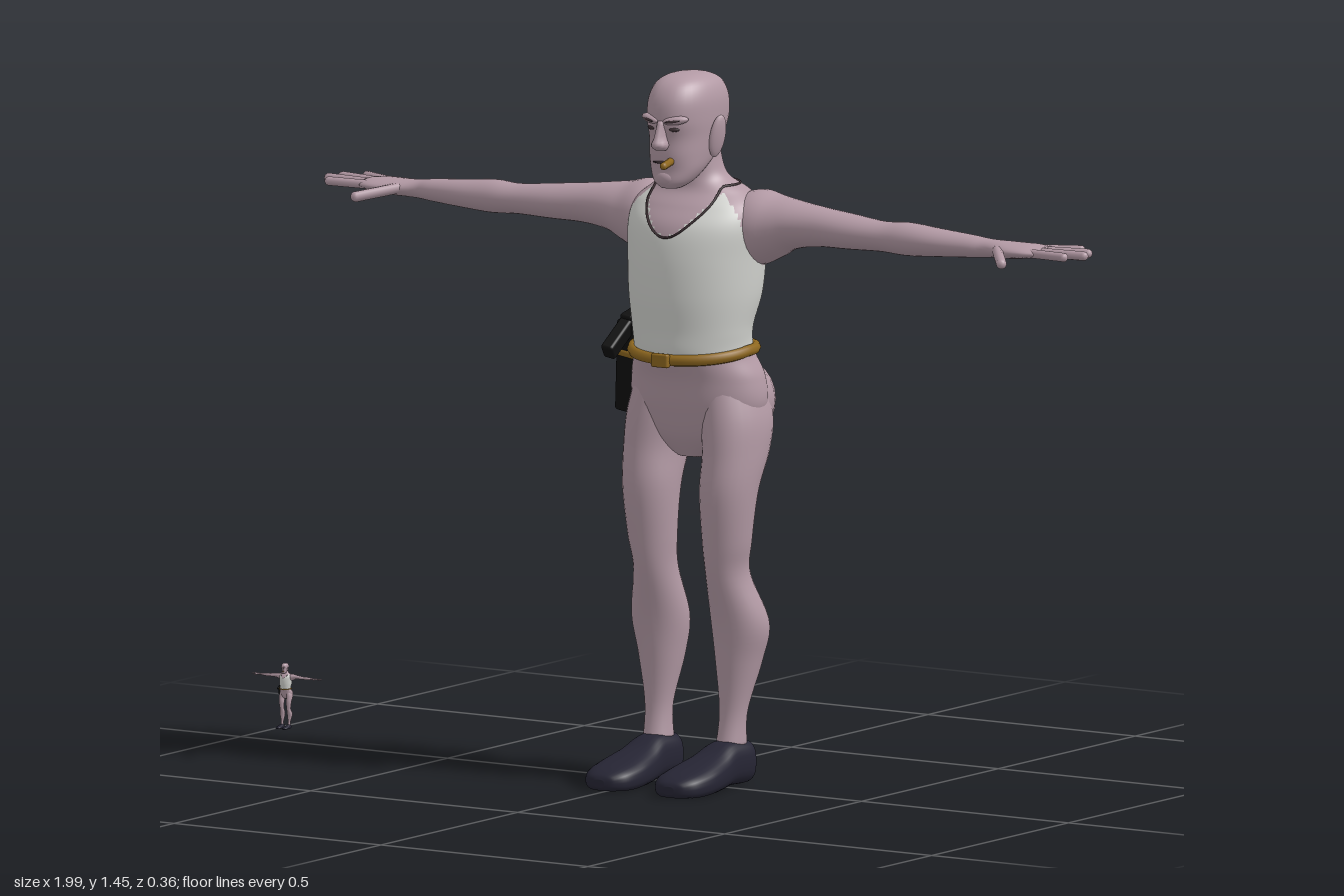
import * as THREE from 'three';
import { RoundedBoxGeometry } from 'three/addons/geometries/RoundedBoxGeometry.js';

const colours = {
  skin: 0xb39aa5, shirt: 0xd2d3cf, leather: 0x8f6820,
  shoe: 0x262534, black: 0x101010, dark: 0x3c2f33,
};
const mats = {};
for (const [name, color] of Object.entries(colours)) {
  mats[name] = new THREE.MeshStandardMaterial({ color });
  mats[name].name = name;
}

// Section rows: [position along axis, centre a, centre b, radius a, radius b]
function sample(keys, u) {
  const n = keys.length - 1, f = Math.min(Math.max(u, 0), 1) * n;
  const i = Math.min(Math.floor(f), n - 1), t = f - i;
  const k = (j) => keys[Math.min(Math.max(j, 0), n)];
  return k(i).map((b, c) => {
    const a = k(i - 1)[c], d = k(i + 1)[c], e = k(i + 2)[c];
    const v = b + 0.5 * t * (d - a + t * (2 * a - 5 * b + 4 * d - e + t * (3 * (b - d) + e - a)));
    return c > 2 ? Math.max(v, 0) : v;
  });
}
function sectionAt(keys, pos) {
  let lo = 0, hi = 1;
  for (let i = 0; i < 30; i++) {
    const mid = (lo + hi) / 2;
    if (sample(keys, mid)[0] < pos) lo = mid; else hi = mid;
  }
  return sample(keys, lo);
}
const bend = (v, p) => Math.sign(v) * Math.abs(v) ** p;

// Smooth closed loft along x, y or z; pick(x, y, z) chooses a material slot
function loft(keys, { axis = 'y', segs = 28, rings = 50, power = 1, side = 1, floor = -9, pick = null } = {}) {
  const pos = [], lists = [[], []];
  const first = [...keys[0].slice(0, 3), 0, 0], last = [...keys.at(-1).slice(0, 3), 0, 0];
  const rows = [first];
  for (let i = 0; i <= rings; i++) rows.push(sample(keys, i / rings));
  rows.push(last);
  for (const [t, a, b, ra, rb] of rows) {
    for (let j = 0; j < segs; j++) {
      const q = (j / segs) * Math.PI * 2;
      const A = a + ra * bend(Math.cos(q), power), B = b + rb * bend(Math.sin(q), power);
      const [x, y, z] = axis === 'y' ? [A, t, B] : axis === 'x' ? [t, B, A] : [B, A, t];
      pos.push(x * side, Math.max(y, floor), z);
    }
  }
  for (let i = 0; i < rows.length - 1; i++) {
    for (let j = 0; j < segs; j++) {
      const k = (j + 1) % segs;
      const a = i * segs + j, b = i * segs + k, c = a + segs, d = b + segs;
      const mid = [0, 1, 2].map((n) => (pos[a * 3 + n] + pos[d * 3 + n]) / 2);
      const list = lists[pick ? pick(...mid) : 0];
      if (side > 0) list.push(a, c, b, b, c, d); else list.push(a, b, c, b, d, c);
    }
  }
  const g = new THREE.BufferGeometry();
  g.setAttribute('position', new THREE.Float32BufferAttribute(pos, 3));
  g.setIndex([...lists[0], ...lists[1]]);
  if (pick) {
    g.addGroup(0, lists[0].length, 0);
    g.addGroup(lists[0].length, lists[1].length, 1);
  }
  g.computeVertexNormals();
  return g;
}

const torsoKeys = [
  [0.665, 0, -0.05, 0.04, 0.04], [0.71, 0, -0.055, 0.11, 0.075], [0.77, 0, -0.06, 0.148, 0.1],
  [0.83, 0, -0.055, 0.145, 0.108], [0.88, 0, -0.04, 0.126, 0.112], [0.93, 0, -0.033, 0.128, 0.108],
  [1.0, 0, -0.044, 0.14, 0.124], [1.08, 0, -0.05, 0.146, 0.127], [1.14, 0, -0.054, 0.15, 0.118],
  [1.18, 0, -0.06, 0.142, 0.096], [1.21, 0, -0.062, 0.108, 0.072], [1.235, 0, -0.052, 0.068, 0.057],
  [1.27, 0, -0.045, 0.054, 0.053], [1.33, 0, -0.04, 0.05, 0.05],
];
const headKeys = [
  [1.222, 0, 0.045, 0.02, 0.02], [1.235, 0, 0.035, 0.038, 0.04], [1.26, 0, 0.018, 0.053, 0.056],
  [1.29, 0, 0, 0.06, 0.078], [1.325, 0, -0.012, 0.064, 0.09], [1.36, 0, -0.017, 0.067, 0.103],
  [1.4, 0, -0.018, 0.066, 0.1], [1.43, 0, -0.018, 0.055, 0.082], [1.446, 0, -0.016, 0.034, 0.05],
  [1.451, 0, -0.015, 0.004, 0.006],
];
const legKeys = [
  [0.08, 0.088, -0.042, 0.03, 0.036], [0.15, 0.09, -0.047, 0.029, 0.029], [0.25, 0.093, -0.062, 0.048, 0.048],
  [0.33, 0.096, -0.062, 0.06, 0.058], [0.43, 0.087, -0.031, 0.044, 0.05], [0.5, 0.09, -0.023, 0.05, 0.053],
  [0.6, 0.093, -0.025, 0.058, 0.065], [0.68, 0.095, -0.048, 0.062, 0.082], [0.75, 0.088, -0.06, 0.066, 0.09],
  [0.83, 0.075, -0.058, 0.055, 0.08],
];
// Arm rows use z then y for the centre and radii
const armKeys = [
  [0.07, -0.08, 1.135, 0.06, 0.06], [0.13, -0.085, 1.135, 0.078, 0.077], [0.18, -0.085, 1.14, 0.07, 0.063],
  [0.22, -0.08, 1.148, 0.058, 0.05], [0.28, -0.075, 1.15, 0.047, 0.041], [0.36, -0.072, 1.147, 0.044, 0.036],
  [0.44, -0.067, 1.145, 0.036, 0.031], [0.5, -0.067, 1.145, 0.038, 0.034], [0.57, -0.068, 1.144, 0.036, 0.029],
  [0.65, -0.073, 1.143, 0.028, 0.023], [0.69, -0.077, 1.142, 0.025, 0.019], [0.74, -0.08, 1.142, 0.043, 0.017],
  [0.785, -0.085, 1.143, 0.05, 0.014], [0.815, -0.088, 1.143, 0.042, 0.01],
];
const shoeKeys = [
  [-0.086, 0.045, 0.088, 0.035, 0.026], [-0.07, 0.045, 0.088, 0.045, 0.04], [-0.01, 0.046, 0.087, 0.045, 0.042],
  [0.04, 0.034, 0.086, 0.038, 0.05], [0.1, 0.024, 0.085, 0.032, 0.058], [0.15, 0.018, 0.084, 0.026, 0.052],
  [0.175, 0.016, 0.084, 0.017, 0.033], [0.183, 0.015, 0.084, 0.008, 0.012],
];

// Tank top region of the torso: slot 1 is cloth
function clothSlot(x, y, z) {
  const ax = Math.abs(x);
  if (y < 0.882 || y > 1.222) return 0;
  const low = z > -0.055 ? 1.125 : 1.135;
  if (ax < 0.085 && y > low + 0.09 * (ax / 0.085) ** 2) return 0;
  const hole = ((z + 0.095) / 0.09) ** 2 + ((y - 1.16) / 0.1) ** 2 < 1;
  return ax > 0.085 && hole ? 0 : 1;
}
function torsoPoint(q, y, out) {
  const [, a, b, ra, rb] = sectionAt(torsoKeys, y);
  return new THREE.Vector3(a + (ra + out) * Math.cos(q), y, b + (rb + out) * Math.sin(q));
}
const HEAD_POWER = 0.88;
function facePoint(x, y, out = 0) {
  const [, , b, ra, rb] = sectionAt(headKeys, y);
  const c = (Math.abs(x) / ra) ** (1 / HEAD_POWER);
  return new THREE.Vector3(x, y, b + rb * Math.sqrt(1 - c * c) ** HEAD_POWER + out);
}

function buildFigure() {
  const fig = new THREE.Group();
  const add = (name, geo, mat, p = [0, 0, 0], r = [0, 0, 0], s = [1, 1, 1]) => {
    const m = new THREE.Mesh(geo, mat);
    m.name = name;
    m.position.set(...p); m.rotation.set(...r); m.scale.set(...s);
    fig.add(m);
    return m;
  };
  const ball = new THREE.SphereGeometry(1, 18, 12);
  const blob = (name, mat, p, s, r) => add(name, ball, mat, p, r, s);
  const rod = (name, mat, from, to, radius) => {
    const a = new THREE.Vector3(...from), b = new THREE.Vector3(...to), d = b.clone().sub(a);
    const m = add(name, new THREE.CapsuleGeometry(radius, d.length(), 4, 10), mat, a.add(b).multiplyScalar(0.5).toArray());
    m.quaternion.setFromUnitVectors(new THREE.Vector3(0, 1, 0), d.normalize());
  };

  // Torso with tank top, and head
  add('torso', loft(torsoKeys, { segs: 96, rings: 120, pick: clothSlot }), [mats.skin, mats.shirt]);
  add('head', loft(headKeys, { segs: 36, rings: 40, power: HEAD_POWER }), mats.skin);

  // Face
  const nose = [[1.303, 0, 0.083, 0.012, 0.012], [1.313, 0, 0.086, 0.017, 0.022], [1.33, 0, 0.082, 0.011, 0.02], [1.362, 0, 0.078, 0.008, 0.012]];
  add('nose', loft(nose, { segs: 12, rings: 10 }), mats.skin);
  blob('mouth', mats.dark, facePoint(0, 1.276).toArray(), [0.024, 0.003, 0.004]);
  blob('chin', mats.skin, [0, 1.243, 0.062], [0.024, 0.018, 0.016]);
  rod('cigar', mats.leather, [0.018, 1.279, 0.075], [0.038, 1.279, 0.13], 0.008);

  for (const s of [1, -1]) {
    const side = s > 0 ? 'left' : 'right';
    blob(side + 'Eye', mats.dark, facePoint(0.028 * s, 1.345).toArray(), [0.011, 0.004, 0.003], [0, 0.4 * s, 0]);
    blob(side + 'BrowRidge', mats.skin, facePoint(0.03 * s, 1.364, -0.004).toArray(), [0.027, 0.009, 0.012], [0, 0.4 * s, 0.12 * s]);
    blob(side + 'Eyebrow', mats.dark, facePoint(0.03 * s, 1.363, 0.006).toArray(), [0.017, 0.003, 0.004], [0, 0.4 * s, 0.15 * s]);
    blob(side + 'Ear', mats.skin, [0.073 * s, 1.325, -0.014], [0.009, 0.044, 0.019], [-0.15, -0.35 * s, -0.15 * s]);

    // Limbs
    add(side + 'Leg', loft(legKeys, { side: s }), mats.skin);
    blob(side + 'Buttock', mats.skin, [0.066 * s, 0.775, -0.103], [0.074, 0.085, 0.077]);
    add(side + 'Shoe', loft(shoeKeys, { axis: 'z', power: 0.75, side: s, floor: 0 }), mats.shoe);
    add(side + 'Arm', loft(armKeys, { axis: 'x', side: s, rings: 70 }), mats.skin);
    const fingers = [
      [0.79, -0.122, 0.862, -0.148], [0.8, -0.101, 0.9, -0.116], [0.805, -0.08, 0.912, -0.083],
      [0.795, -0.058, 0.887, -0.047], [0.725, -0.05, 0.78, 0.018],
    ];
    fingers.forEach(([x0, z0, x1, z1], i) =>
      rod(side + (i < 4 ? 'Finger' : 'Thumb'), mats.skin, [x0 * s, 1.143, z0], [x1 * s, i < 4 ? 1.144 : 1.13, z1], i < 4 ? 0.0095 : 0.011));
  }

  // Belt with buckle, dipping towards the front
  const loop = (height, out, n = 48) => new THREE.CatmullRomCurve3(
    Array.from({ length: n }, (_, i) => torsoPoint((i / n) * Math.PI * 2, height((i / n) * Math.PI * 2), out)), true);
  const belt = loop((q) => 0.887 - 0.014 * Math.max(0, Math.sin(q)), 0.002);
  add('belt', new THREE.TubeGeometry(belt, 96, 0.012, 8, true), mats.leather);
  add('buckle', new RoundedBoxGeometry(0.04, 0.028, 0.014, 2, 0.004), mats.leather, [0, 0.873, 0.084]);

  // Neck chain
  const chain = loop((q) => (Math.sin(q) < 0 ? 1.222 : 1.222 - 0.1 * Math.sin(q) ** 6), 0.002, 64);
  add('neckChain', new THREE.TubeGeometry(chain, 128, 0.0026, 5, true), mats.dark);

  // Holster with pistol on the right hip
  const holster = new THREE.Group();
  holster.name = 'holster';
  holster.position.set(-0.17, 0.845, -0.075);
  holster.rotation.set(0.22, 0, -0.17);
  const part = (name, size, mat, p, rx = 0) => {
    const m = new THREE.Mesh(new RoundedBoxGeometry(...size, 2, 0.006), mat);
    m.name = name; m.position.set(...p); m.rotation.x = rx;
    holster.add(m);
  };
  part('pouch', [0.044, 0.2, 0.07], mats.black, [0, -0.01, 0]);
  part('pistolSlide', [0.03, 0.05, 0.06], mats.black, [0, 0.08, 0.005]);
  part('pistolGrip', [0.028, 0.035, 0.09], mats.black, [0, 0.065, 0.06], 0.45);
  part('strap', [0.05, 0.016, 0.076], mats.leather, [0, 0.02, 0]);
  part('beltLoop', [0.05, 0.02, 0.05], mats.leather, [0.008, 0.082, -0.005]);
  fig.add(holster);
  return fig;
}

export function createModel() {
  const model = new THREE.Group();
  model.name = 'figures';
  const figure = buildFigure();
  figure.name = 'figure';
  figure.position.x = 0.07;
  // Miniature copy standing beside the large figure
  const mini = figure.clone(true);
  mini.name = 'miniature';
  mini.scale.setScalar(0.092);
  mini.position.set(-0.915, 0.02, -0.032);
  model.add(figure, mini);
  return model;
}
